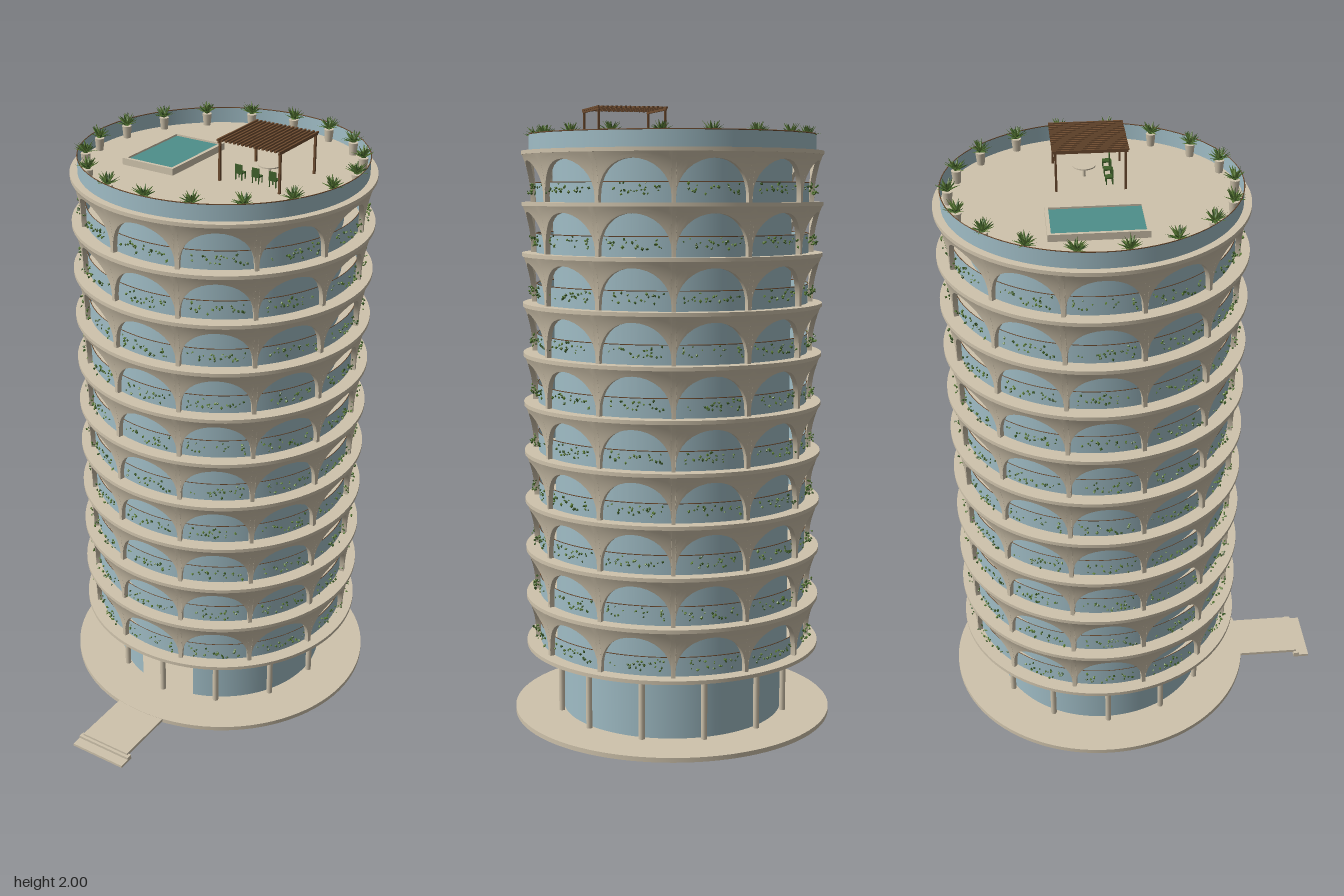
import * as THREE from 'three';
import { mergeGeometries, toCreasedNormals } from 'three/addons/utils/BufferGeometryUtils.js';

const CENTRE_Z = -0.125, FLOORS = 10, STEP = 0.161, BASE = 0.243, SLAB = 0.012;
const BAYS = 12, BAY = (Math.PI * 2) / BAYS;

function material(name, color, double = false) {
  const m = new THREE.MeshStandardMaterial({ color });
  m.name = name;
  if (double) m.side = THREE.DoubleSide;
  return m;
}

function seeded(seed) {
  return () => {
    seed = (seed * 16807) % 2147483647;
    return seed / 2147483647;
  };
}

// Ring of arches: each column is a closed strip running down the outside and up the inside
function arcadeGeometry() {
  const height = STEP - SLAB, half = 0.247, spring = 0.018, rise = 0.112, n = 16, rows = 5;
  const angles = [], bottoms = [];
  for (let b = 0; b < BAYS; b++) {
    angles.push(b * BAY - BAY / 2, b * BAY - half - 0.0005);
    bottoms.push(0, 0);
    for (let k = 0; k <= n; k++) {
      const a = (Math.PI * k) / n;
      angles.push(b * BAY - half * Math.cos(a));
      bottoms.push(spring + rise * Math.sin(a));
    }
    angles.push(b * BAY + half + 0.0005);
    bottoms.push(0);
  }
  angles.push(BAYS * BAY - BAY / 2);
  bottoms.push(0);
  const cols = angles.length, geo = new THREE.PlaneGeometry(1, 1, cols - 1, rows * 2 + 1);
  const pos = geo.attributes.position;
  for (let i = 0; i < pos.count; i++) {
    const c = i % cols, r = Math.floor(i / cols);
    const inner = r > rows;
    const t = inner ? (r - rows - 1) / rows : 1 - r / rows;
    const y = bottoms[c] + (height - bottoms[c]) * t;
    const radius = 0.459 + 0.025 * Math.pow(y / height, 2.6) - (inner ? 0.016 : 0);
    pos.setXYZ(i, radius * Math.sin(angles[c]), y, radius * Math.cos(angles[c]));
  }
  return toCreasedNormals(geo, 0.9);
}

// Small leaves scattered along every balcony
function balconyLeaves(seed, count) {
  const rand = seeded(seed), parts = [];
  for (let b = 0; b < BAYS; b++) {
    for (let k = 0; k < count; k++) {
      const a = b * BAY + (rand() - 0.5) * 0.4, r = 0.449 + rand() * 0.02;
      const g = new THREE.OctahedronGeometry(0.0035 + rand() * 0.0035);
      g.scale(1, 0.7, 0.8).rotateZ(rand() * 3).rotateY(rand() * 3);
      g.translate(r * Math.sin(a), 0.024 + rand() * 0.034, r * Math.cos(a));
      parts.push(g);
    }
  }
  return mergeGeometries(parts);
}

// Spiky rosette of narrow blades
function rosette(seed, count) {
  const rand = seeded(seed), parts = [];
  for (let k = 0; k < count; k++) {
    const length = 0.038 + rand() * 0.008;
    const g = new THREE.ConeGeometry(0.008, length, 4);
    g.scale(1, 1, 0.35).translate(0, length / 2, 0);
    g.rotateX(0.4 + rand() * 1.05).rotateY((k / count) * Math.PI * 2 + rand() * 0.3);
    parts.push(g);
  }
  return mergeGeometries(parts).toNonIndexed();
}

export function createModel() {
  const model = new THREE.Group();
  const tower = new THREE.Group();
  tower.name = 'tower';
  tower.position.z = CENTRE_Z;
  model.add(tower);

  const stone = material('stone', 0xcfc3ac);
  const glass = material('glass', 0xa0bdc6, true);
  const wood = material('wood', 0x6e4c30);
  const water = material('pool water', 0x4e8f8b);
  const leaf = material('leaf green', 0x5f8238, true);
  const darkLeaf = material('dark leaf', 0x3f5f2a, true);

  const add = (parent, name, geo, mat, x = 0, y = 0, z = 0) => {
    const m = new THREE.Mesh(geo, mat);
    m.name = name;
    m.position.set(x, y, z);
    parent.add(m);
    return m;
  };
  const box = (w, h, d) => new THREE.BoxGeometry(w, h, d);
  const disc = (r, h, seg = 96) => new THREE.CylinderGeometry(r, r, h, seg);
  const tube = (r, h, start = 0, length = Math.PI * 2) =>
    new THREE.CylinderGeometry(r, r, h, 96, 1, true, start, length);
  const hoop = (r, t) => new THREE.TorusGeometry(r, t, 4, 96).rotateX(Math.PI / 2);

  // Plaza, walkway and two entry steps
  add(tower, 'plaza', disc(0.528, 0.015), stone, 0, 0.0185, 0);
  add(model, 'walkway', box(0.184, 0.01, 0.24), stone, 0, 0.02, 0.485);
  add(model, 'upperStep', box(0.204, 0.009, 0.02), stone, 0, 0.0135, 0.605);
  add(model, 'lowerStep', box(0.204, 0.009, 0.055), stone, 0, 0.0045, 0.6225);

  // Ground floor: glass with an open entrance, ringed by columns, and a desk inside
  add(tower, 'lobbyGlass', tube(0.366, 0.22, 0.3, Math.PI * 2 - 0.6), glass, 0, 0.135, 0);
  add(tower, 'lobbyDesk', box(0.1, 0.055, 0.03), wood, -0.14, 0.053, 0);
  const column = new THREE.CylinderGeometry(0.01, 0.01, 0.22, 12);
  for (let k = 0; k < BAYS; k++) {
    add(tower, 'column', column, stone, 0.38 * Math.sin(k * BAY), 0.135, 0.38 * Math.cos(k * BAY));
  }

  // Repeating balcony floors
  add(tower, 'towerGlass', tube(0.386, FLOORS * STEP), glass, 0, BASE + (FLOORS * STEP) / 2, 0);
  const arcade = arcadeGeometry(), slab = disc(0.487, SLAB), soffit = disc(0.462, 0.004);
  const railing = tube(0.441, 0.06), rail = hoop(0.441, 0.0014);
  const leavesA = balconyLeaves(11, 11), leavesB = balconyLeaves(77, 10);
  for (let f = 0; f <= FLOORS; f++) {
    const floor = new THREE.Group();
    floor.name = f < FLOORS ? 'balconyFloor' : 'roofDeck';
    floor.position.y = BASE + f * STEP;
    tower.add(floor);
    add(floor, 'slab', slab, stone, 0, SLAB / 2, 0);
    if (f > 0) add(floor, 'soffit', soffit, wood, 0, -0.002, 0);
    if (f === FLOORS) continue;
    add(floor, 'arcade', arcade, stone, 0, SLAB, 0);
    add(floor, 'glassRailing', railing, glass, 0, SLAB + 0.03, 0);
    add(floor, 'handrail', rail, wood, 0, SLAB + 0.061, 0);
    for (const [geo, mat] of [[leavesA, leaf], [leavesB, darkLeaf]]) {
      add(floor, 'balconyPlants', geo, mat, 0, SLAB, 0).rotation.y = f * BAY * 5;
    }
  }

  // Roof parapet
  const roof = new THREE.Group();
  roof.name = 'roof';
  roof.position.y = BASE + FLOORS * STEP + SLAB;
  tower.add(roof);
  add(roof, 'parapetGlass', tube(0.462, 0.052), glass, 0, 0.026, 0);
  add(roof, 'parapetRail', hoop(0.462, 0.0017), wood, 0, 0.052, 0);

  // Potted plants around the edge
  const pot = new THREE.CylinderGeometry(0.016, 0.012, 0.04, 12);
  const bladesA = rosette(5, 18), bladesB = rosette(23, 9);
  for (let k = 0; k < 18; k++) {
    const plant = new THREE.Group(), a = (k * Math.PI) / 9;
    plant.name = 'pottedPlant';
    plant.position.set(0.438 * Math.sin(a), 0, 0.438 * Math.cos(a));
    plant.rotation.y = k * 1.3;
    roof.add(plant);
    add(plant, 'pot', pot, stone, 0, 0.02, 0);
    add(plant, 'blades', bladesA, leaf, 0, 0.044, 0);
    add(plant, 'darkBlades', bladesB, darkLeaf, 0, 0.042, 0);
  }

  // Pool with a raised rim
  for (const s of [-1, 1]) {
    add(roof, 'poolRimLong', box(0.011, 0.022, 0.302), stone, -0.189 + s * 0.0905, 0.011, 0);
    add(roof, 'poolRimShort', box(0.17, 0.022, 0.011), stone, -0.189, 0.011, s * 0.1455);
  }
  add(roof, 'poolWater', box(0.17, 0.016, 0.28), water, -0.189, 0.008, 0);

  // Pergola: beams run beneath the outer slats
  const pergola = new THREE.Group();
  pergola.name = 'pergola';
  pergola.position.x = 0.16;
  roof.add(pergola);
  for (const x of [-0.107, 0.107]) {
    for (const z of [-0.107, 0.107]) add(pergola, 'post', box(0.007, 0.124, 0.007), wood, x, 0.062, z);
    add(pergola, 'beam', box(0.005, 0.006, 0.232), wood, x, 0.126, 0);
  }
  for (let k = 0; k < 16; k++) {
    add(pergola, 'slat', box(0.006, 0.006, 0.236), wood, -0.109 + (k * 0.218) / 15, 0.132, 0);
  }

  // Table and chairs below the pergola
  add(pergola, 'tableTop', disc(0.036, 0.004, 32), stone, 0, 0.036, -0.014);
  add(pergola, 'tableLeg', disc(0.005, 0.034, 10), stone, 0, 0.017, -0.014);
  for (const x of [-0.061, 0, 0.061]) {
    const chair = new THREE.Group();
    chair.name = 'chair';
    chair.position.set(x, 0, 0.06);
    pergola.add(chair);
    add(chair, 'seat', box(0.026, 0.004, 0.024), darkLeaf, 0, 0.022, 0);
    add(chair, 'backrest', box(0.026, 0.026, 0.003), darkLeaf, 0, 0.037, 0.0105);
    for (const lx of [-0.011, 0.011]) {
      for (const lz of [-0.01, 0.01]) add(chair, 'leg', box(0.003, 0.021, 0.003), darkLeaf, lx, 0.0105, lz);
    }
  }
  return model;
}
